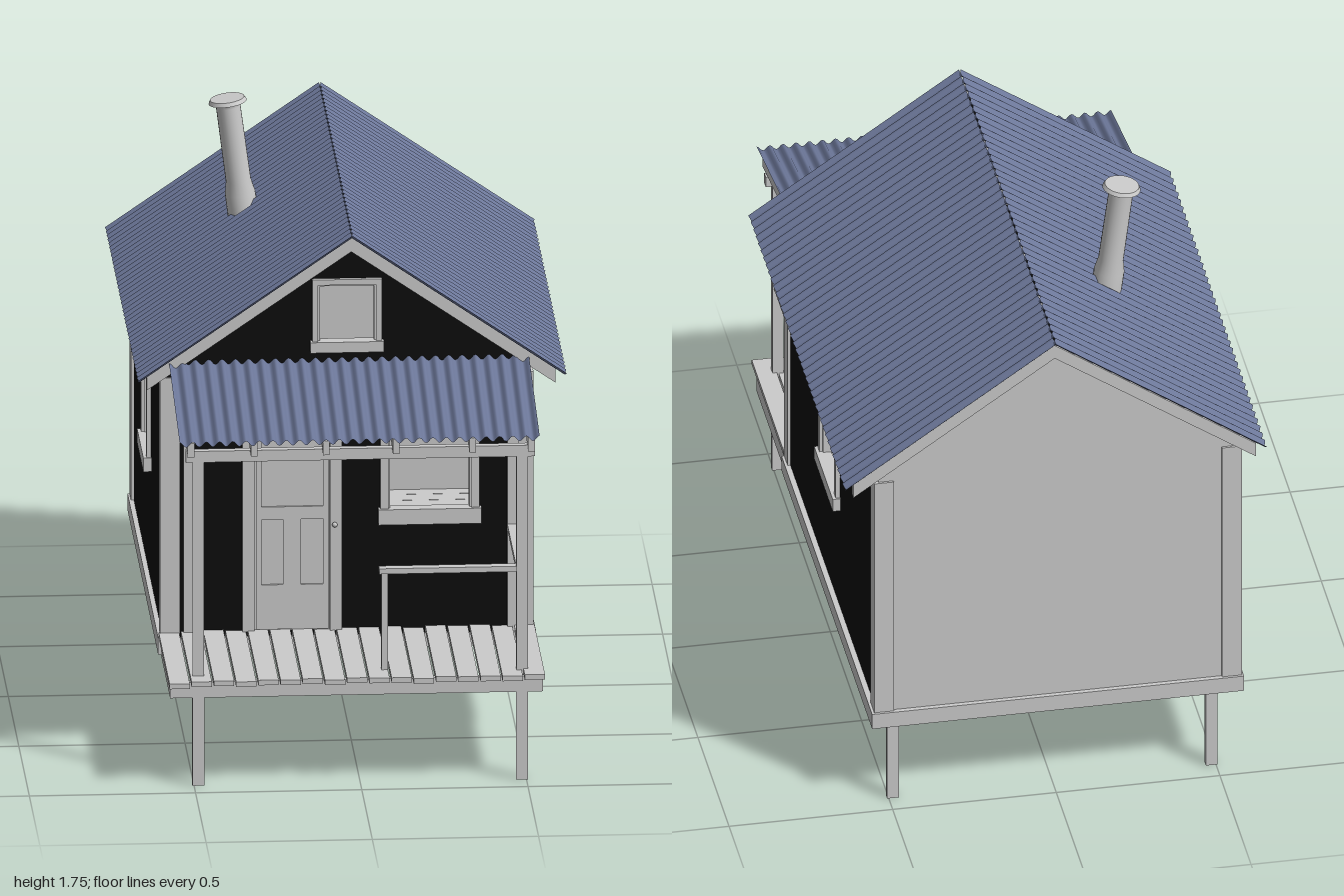
import * as THREE from 'three';

const mat = (color, side = THREE.FrontSide) => new THREE.MeshStandardMaterial({ color, side });
const GREY = mat(0xcccccc), BLACK = mat(0x0d0d0d), BLUE = mat(0x6c7799, THREE.DoubleSide);

export function createModel() {
  const root = new THREE.Group();
  root.name = 'cabin';

  const add = (name, geo, material = GREY, parent = root) => {
    const m = new THREE.Mesh(geo, material);
    m.name = name;
    parent.add(m);
    return m;
  };
  // Box given by its bounds
  const box = (name, x0, x1, y0, y1, z0, z1, material = GREY, parent = root) => {
    const m = add(name, new THREE.BoxGeometry(x1 - x0, y1 - y0, z1 - z0), material, parent);
    m.position.set((x0 + x1) / 2, (y0 + y1) / 2, (z0 + z1) / 2);
    return m;
  };
  const rect = (x0, x1, y0, y1, Type = THREE.Shape) =>
    new Type([[x0, y0], [x1, y0], [x1, y1], [x0, y1]].map(p => new THREE.Vector2(...p)));
  const hole = (...b) => rect(...b, THREE.Path);
  const extrude = (shape, depth) => new THREE.ExtrudeGeometry(shape, { depth, bevelEnabled: false });
  // Prism between two (a, y) points whose top edge is the given line
  const sloped = (a, b, deep, wide) => {
    const s = new THREE.Shape([[a[0], a[1] - deep], [b[0], b[1] - deep], b, a].map(p => new THREE.Vector2(...p)));
    return extrude(s, wide);
  };
  // Wavy metal sheet: place(u, v, wave) returns a point
  const corrugated = (name, waves, place) => {
    const geo = new THREE.PlaneGeometry(1, 1, waves * 8, 1), p = geo.attributes.position;
    for (let i = 0; i < p.count; i++) {
      const u = p.getX(i) + 0.5, v = p.getY(i) + 0.5;
      p.setXYZ(i, ...place(u, v, 0.006 * Math.cos(u * waves * Math.PI * 2)));
    }
    geo.computeVertexNormals();
    add(name, geo, BLUE);
  };
  let seed = 7;
  const rnd = () => (seed = (seed * 16807) % 2147483647) / 2147483647;

  const L = -0.57, R = 0.545, F = 0.48, B = -0.955; // wall faces
  const slope = 0.69;

  // Gable walls
  const gable = () => new THREE.Shape([[L + 0.01, 0.32], [R - 0.01, 0.32], [R - 0.01, 1.175], [0, 1.55], [L + 0.01, 1.16]]
    .map(p => new THREE.Vector2(...p)));
  const front = gable();
  front.holes.push(hole(0.112, 0.363, 0.71, 0.985), hole(-0.1, 0.075, 1.25, 1.43));
  add('frontWall', extrude(front, 0.015), BLACK).position.z = F - 0.015;
  add('backWall', extrude(gable(), 0.015)).position.z = B;

  // Side walls with a window opening each
  for (const [name, x] of [['leftWall', R - 0.005], ['rightWall', L + 0.02]]) {
    const s = rect(B + 0.015, F - 0.015, 0.32, 1.165);
    s.holes.push(hole(-0.342, -0.107, 0.71, 0.975));
    const m = add(name, extrude(s, 0.015), BLACK);
    m.rotation.y = -Math.PI / 2;
    m.position.x = x;
  }

  // Corner boards
  for (const [x0, x1] of [[L - 0.004, L + 0.056], [R - 0.056, R + 0.004]])
    for (const [z0, z1] of [[0.43, 0.487], [-0.962, -0.905]])
      box('cornerBoard', x0, x1, 0.32, 1.145, z0, z1);

  // Windows: trim frame, inner sash and sill, facing local +z
  const windowFrame = (name, w, h, t, sillH) => {
    const g = new THREE.Group();
    g.name = name;
    const ring = (a, b) => {
      const s = rect(-a, a, 0, h + a - w / 2);
      s.holes.push(hole(-b, b, 0.002, h + b - w / 2));
      return s;
    };
    add('trim', extrude(ring(w / 2 + t, w / 2), 0.014), GREY, g);
    add('sash', extrude(ring(w / 2 + 0.004, w / 2 - 0.006), 0.026), GREY, g).position.z = -0.022;
    box('sill', -w / 2 - t - 0.006, w / 2 + t + 0.006, -sillH, 0.003, -0.015, 0.024, GREY, g);
    root.add(g);
    return g;
  };
  windowFrame('frontWindow', 0.25, 0.265, 0.024, 0.045).position.set(0.237, 0.72, F);
  windowFrame('gableWindow', 0.175, 0.18, 0.017, 0.03).position.set(-0.012, 1.25, F);
  for (const [x, r] of [[R - 0.005, 1], [L + 0.005, -1]]) {
    const g = windowFrame('sideWindow', 0.235, 0.26, 0.026, 0.04);
    g.position.set(x, 0.715, -0.225);
    g.rotation.y = r * Math.PI / 2;
  }

  // Door
  const door = new THREE.Group();
  door.name = 'door';
  root.add(door);
  const d = (n, x0, x1, y0, y1, z) => box(n, x0, x1, y0, y1, F - 0.005, F + z, GREY, door);
  d('doorPanel', -0.3, -0.055, 0.345, 1.0, 0.005);
  d('doorTrim', -0.327, -0.291, 0.345, 1.01, 0.018);
  d('doorTrim', -0.064, -0.028, 0.345, 1.01, 0.018);
  d('doorTrim', -0.327, -0.028, 0.99, 1.012, 0.019);
  for (const x of [-0.286, -0.084]) d('stile', x, x + 0.016, 0.35, 0.986, 0.012);
  for (const [a, b] of [[0.35, 0.49], [0.695, 0.735], [0.97, 0.986]]) d('doorRail', -0.286, -0.068, a, b, 0.0115);
  d('middleStile', -0.205, -0.15, 0.49, 0.695, 0.011);
  const knob = add('knob', new THREE.SphereGeometry(0.008, 12, 8), GREY, door);
  knob.position.set(-0.05, 0.68, F + 0.026);

  // Main roof sheets, rafters and barge boards
  for (const s of [-1, 1]) {
    corrugated('roofSheet', 39, (u, v, w) => [s * (v * 0.643 + w * 0.5), 1.595 - v * 0.643 * slope + w * 0.8, -1 + u * 1.55]);
    for (const z of [0.19, -0.095, -0.385, -0.67])
      add('rafter', sloped([0, 1.582], [s * 0.615, 1.582 - 0.615 * slope], 0.04, 0.02)).position.z = z - 0.01;
    for (const z of [0.48, -0.975])
      add('bargeBoard', sloped([0, 1.582], [s * 0.615, 1.582 - 0.615 * slope], 0.046, 0.02)).position.z = z;
  }
  // Extruded outlines are re-ordered by the shape code, so both slopes face outward.

  // Floor frame, legs and house floor planks
  for (const [x0, x1] of [[-0.58, -0.558], [0.535, 0.557]]) {
    box('sideSkirt', x0, x1, 0.275, 0.327, -0.97, 0.485);
    box('porchSkirt', x0 + (x0 < 0 ? 0.008 : 0), x1 - (x0 < 0 ? 0 : 0.008), 0.277, 0.326, 0.485, 0.93);
  }
  box('backSkirt', -0.58, 0.557, 0.275, 0.327, -0.97, -0.95);
  box('frontSkirt', -0.572, 0.549, 0.277, 0.326, 0.91, 0.93);
  box('middleJoist', -0.558, 0.535, 0.285, 0.327, 0.455, 0.485);
  for (const x of [-0.487, 0.487])
    for (const z of [0.918, -0.927]) box('leg', x - 0.018, x + 0.018, 0, 0.3, z - 0.011, z + 0.011);
  for (let i = 0; i < 24; i++) {
    const z = -0.95 + i * 0.0593;
    box('floorPlank', -0.555, 0.533, 0.318, 0.332, z, z + 0.0575);
  }

  // Porch deck boards, slightly uneven
  for (let i = 0; i < 17; i++) {
    const x = -0.578 + i * 0.0668, y = 0.327 + rnd() * 0.007;
    box('deckBoard', x, x + 0.061, y, y + 0.016, 0.48, 0.985 + rnd() * 0.015);
  }

  // Porch posts, beam and railing
  for (const x of [-0.487, 0.487]) {
    box('porchPost', x - 0.017, x + 0.017, 0.33, 1.02, 0.907, 0.929);
    box('wallPost', x - 0.017, x + 0.017, 0.33, 1.05, 0.48, 0.492);
  }
  box('porchBeam', -0.525, 0.525, 1.017, 1.052, 0.905, 0.93);
  box('railPost', 0.065, 0.085, 0.335, 0.655, 0.89, 0.91);
  box('frontRail', 0.058, 0.5, 0.65, 0.667, 0.885, 0.915);
  box('sideRail', 0.47, 0.5, 0.65, 0.667, 0.48, 0.905);

  // Porch roof and rafters
  const porchY = z => 1.095 + 0.185 * (1 - z);
  corrugated('porchRoof', 27, (u, v, w) => [-0.548 + u * 1.083, porchY(1 - v * 0.52) + w * 1.3, 1 - v * 0.52]);
  for (const x of [-0.512, -0.322, -0.105, 0.105, 0.335, 0.512]) {
    const m = add('porchRafter', sloped([0.48, porchY(0.48) - 0.008], [0.975, porchY(0.975) - 0.008], 0.045, 0.02));
    m.rotation.y = -Math.PI / 2;
    m.position.x = x + 0.01;
  }

  // Leaning stove pipe with a cap
  const chimney = new THREE.Group();
  chimney.name = 'chimney';
  chimney.position.set(-0.267, 1.365, -0.39);
  chimney.rotation.z = 0.13;
  root.add(chimney);
  const profile = [[0.046, 0], [0.046, 0.085], [0.038, 0.125], [0.037, 0.36], [0.042, 0.372]].map(p => new THREE.Vector2(...p));
  add('pipe', new THREE.LatheGeometry(profile, 24), mat(0xcccccc, THREE.DoubleSide), chimney);
  add('pipeCap', new THREE.CylinderGeometry(0.052, 0.058, 0.012, 24), GREY, chimney).position.y = 0.38;

  return root;
}
